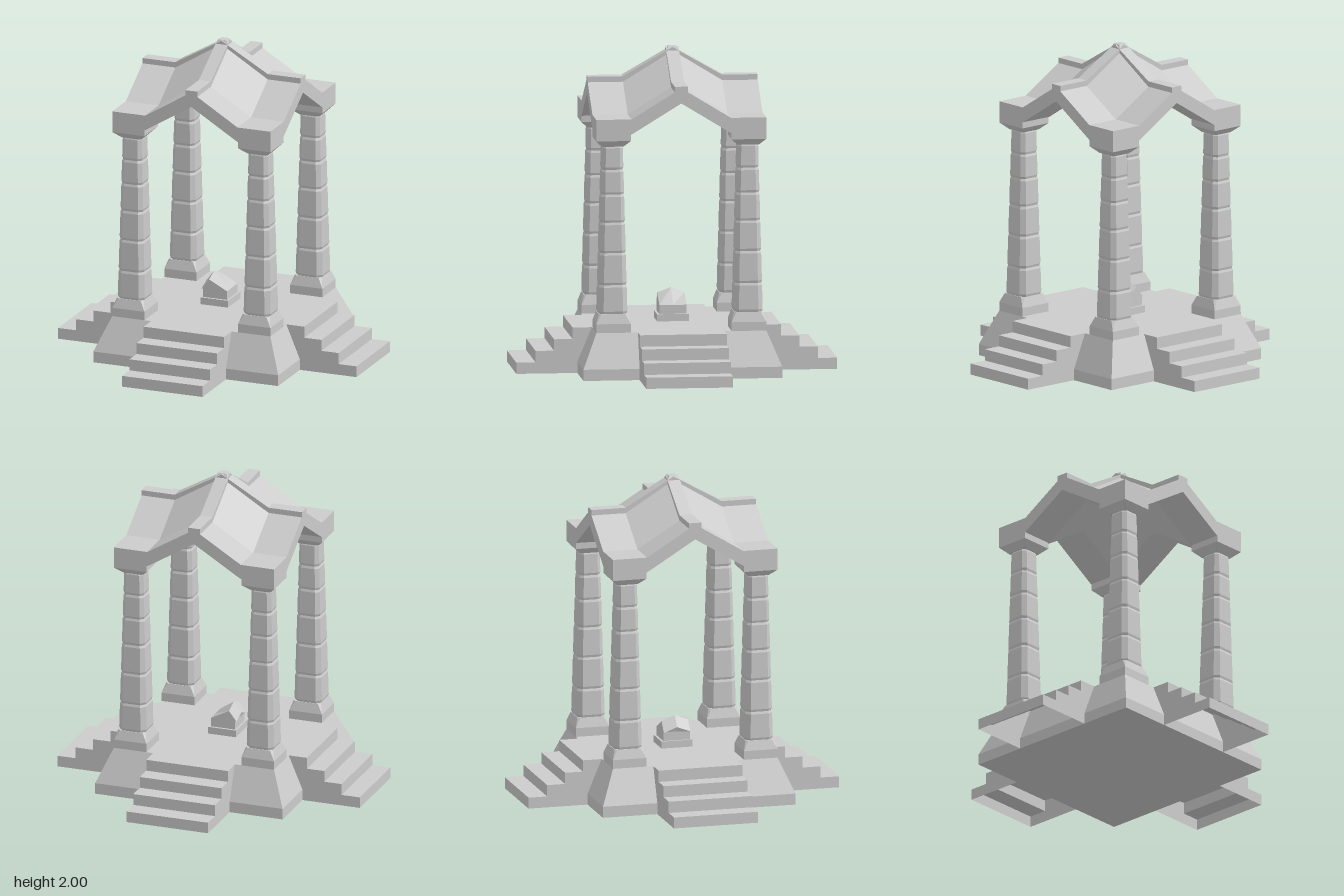
import * as THREE from 'three';

const grey = new THREE.MeshStandardMaterial({ color: 0xcccccc, flatShading: true });
const greyOpen = new THREE.MeshStandardMaterial({ color: 0xcccccc, flatShading: true, side: THREE.DoubleSide });

function add(parent, name, geometry, material = grey) {
  const mesh = new THREE.Mesh(geometry, material);
  mesh.name = name;
  parent.add(mesh);
  return mesh;
}

// Lofts chamfered squares [half width, half width of the flat, y] from bottom to top
function loft(sections) {
  const pos = [], index = [];
  for (const [h, f, y] of sections) {
    for (const [x, z] of [[h, -f], [h, f], [f, h], [-f, h], [-h, f], [-h, -f], [-f, -h], [f, -h]]) pos.push(x, y, z);
  }
  const top = (sections.length - 1) * 8;
  for (let i = 0; i < top; i += 8) {
    for (let j = 0; j < 8; j++) {
      const a = i + j, b = i + (j + 1) % 8;
      index.push(a, a + 8, b, b, a + 8, b + 8);
    }
  }
  for (let j = 1; j < 7; j++) index.push(0, j, j + 1, top, top + j + 1, top + j);
  const g = new THREE.BufferGeometry();
  g.setAttribute('position', new THREE.Float32BufferAttribute(pos, 3));
  g.setIndex(index);
  const flat = g.toNonIndexed();
  flat.computeVertexNormals();
  return flat;
}

// Moves every vertex by a rule
function reshape(g, rule) {
  const p = g.attributes.position;
  for (let i = 0; i < p.count; i++) p.setXYZ(i, ...rule(p.getX(i), p.getY(i), p.getZ(i)));
  g.computeVertexNormals();
  return g;
}

function profileShape(points) {
  return new THREE.Shape(points.map(([x, y]) => new THREE.Vector2(x, y)));
}

// Four steps, open underneath
function stairGeometry() {
  const shape = profileShape([[0.53, 0], [1, 0], [1, 0.07], [0.88, 0.07], [0.88, 0.142],
    [0.765, 0.142], [0.765, 0.213], [0.65, 0.213], [0.65, 0.285], [0.53, 0.285]]);
  const g = new THREE.ExtrudeGeometry(shape, { depth: 0.54, bevelEnabled: false });
  g.translate(0, 0, -0.27);
  const p = g.attributes.position, kept = [];
  for (let i = 0; i < p.count; i += 3) {
    if (Math.max(p.getY(i), p.getY(i + 1), p.getY(i + 2)) < 0.001) continue;
    for (let k = i; k < i + 3; k++) kept.push(p.getX(k), p.getY(k), p.getZ(k));
  }
  const open = new THREE.BufferGeometry();
  open.setAttribute('position', new THREE.Float32BufferAttribute(kept, 3));
  open.computeVertexNormals();
  return open;
}

// Tapered shaft of drums with pinched joints
function shaftGeometry() {
  const joints = [0.4, 0.58, 0.78, 0.97, 1.145, 1.3, 1.45];
  const sections = [];
  for (let i = 0; i < joints.length - 1; i++) {
    const [lo, hi] = [joints[i], joints[i + 1]];
    for (const [y, inset] of [[lo, 0.005], [lo + 0.015, 0], [hi - 0.015, 0], [hi, 0.005]]) {
      const h = 0.091 - 0.027 * (y - 0.4) / 1.05 - inset;
      sections.push([h, h * 0.67, y]);
    }
  }
  return loft(sections);
}

// Roof drop away from a ridge: sloped, then level
const drop = (u) => 0.19 * Math.min(Math.abs(u) / 0.31, 1);
const gridLines = [-0.53, -0.31, 0, 0.31, 0.53];
const onGrid = (u) => gridLines[Math.round((u + 0.5) * 4)];

export function createModel() {
  const model = new THREE.Group();
  model.name = 'pavilion';

  // Platform with sloped sides
  add(model, 'platform', loft([[0.62, 0.62, 0], [0.62, 0.62, 0.07], [0.53, 0.53, 0.285]]));

  // Stairs on all four sides
  const stair = stairGeometry();
  for (let i = 0; i < 4; i++) add(model, 'stairs', stair, greyOpen).rotation.y = i * Math.PI / 2;

  // Columns at the corners
  const foot = loft([[0.108, 0.108, 0.285], [0.108, 0.108, 0.34], [0.09, 0.075, 0.4]]);
  const shaft = shaftGeometry();
  const capital = loft([[0.068, 0.06, 1.445], [0.108, 0.108, 1.485], [0.108, 0.108, 1.53]]);
  for (const x of [-1, 1]) {
    for (const z of [-1, 1]) {
      const column = new THREE.Group();
      column.name = 'column';
      column.position.set(x * 0.422, 0, z * 0.422);
      add(column, 'columnFoot', foot);
      add(column, 'columnShaft', shaft);
      add(column, 'columnCapital', capital);
      model.add(column);
    }
  }

  // Cross-gabled roof shell, low at the corners
  add(model, 'roof', reshape(new THREE.BoxGeometry(1, 1, 1, 4, 1, 4), (x, y, z) => {
    const [gx, gz] = [onGrid(x), onGrid(z)];
    return [gx, (y > 0 ? 2.0 : 1.905) - drop(gx) - drop(gz), gz];
  }));

  // Two crossing ridge beams and the cap where they meet
  for (const angle of [0, Math.PI / 2]) {
    const beam = reshape(new THREE.BoxGeometry(1, 1, 1, 4, 1, 1), (x, y, z) => {
      const gx = onGrid(x);
      return [gx, (y > 0 ? 2.01 : 1.95) - drop(gx) - (gx === 0 ? 0.012 : 0), z * 0.08];
    });
    add(model, 'ridgeBeam', beam).rotation.y = angle;
  }
  add(model, 'ridgeCap', loft([[0.04, 0.04, 1.94], [0.04, 0.04, 1.975], [0.026, 0.026, 2.0]]));

  // Small stone seat with a peaked, tilted top
  const plinth = add(model, 'plinth', new THREE.BoxGeometry(0.185, 0.045, 0.2));
  plinth.position.set(-0.024, 0.307, 0);
  const stoneShape = profileShape([[-0.105, 0.325], [0.055, 0.325], [0.055, 0.385],
    [-0.065, 0.48], [-0.115, 0.415], [-0.105, 0.385]]);
  const stone = new THREE.ExtrudeGeometry(stoneShape, { depth: 0.17, steps: 2, bevelEnabled: false });
  stone.translate(0, 0, -0.085);
  add(model, 'centreStone', reshape(stone, (x, y, z) => [x, y > 0.4 ? y - 0.38 * Math.abs(z) : y, z]));

  return model;
}
